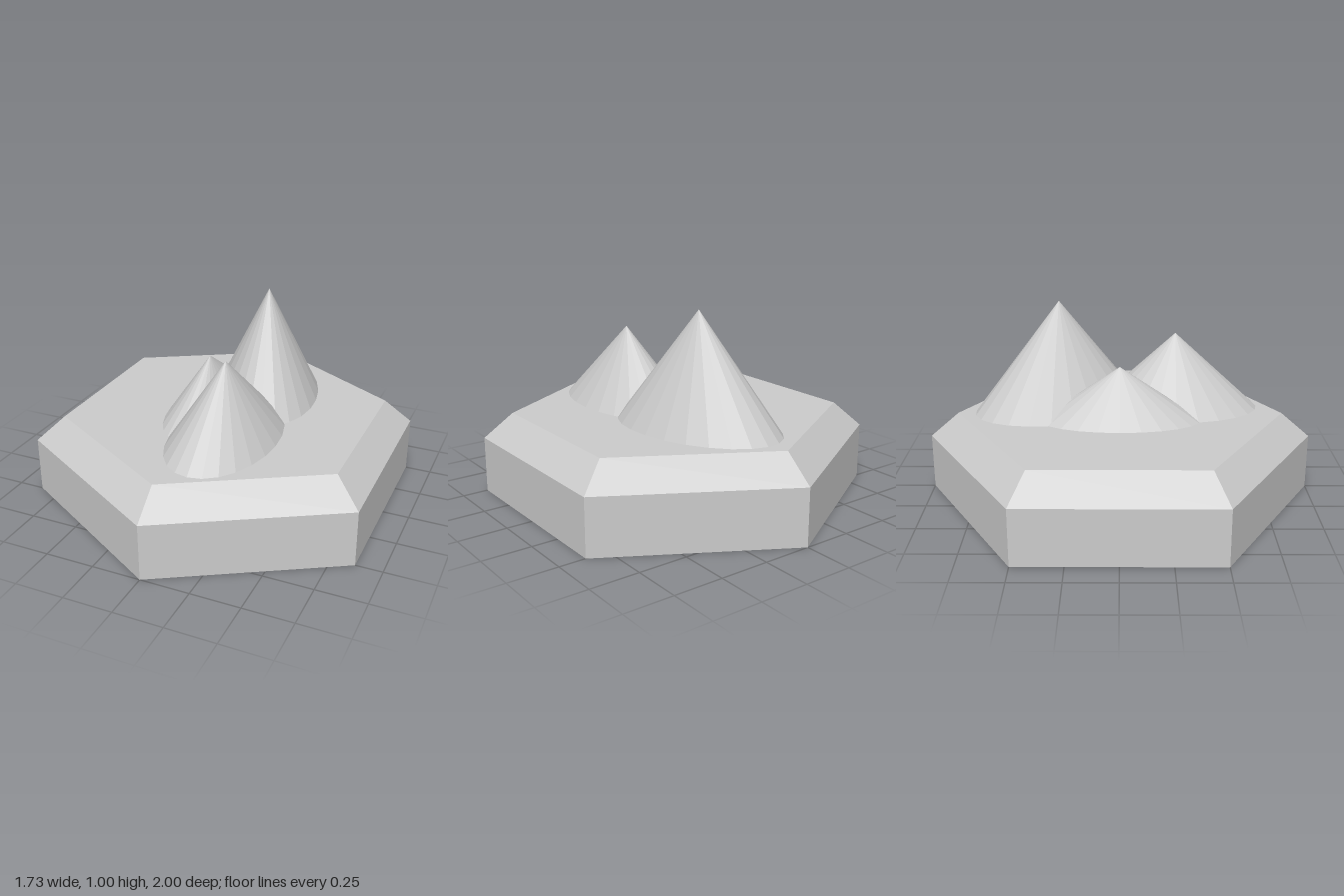
import * as THREE from 'three';

const TOP = 0.42;

export function createModel() {
  const group = new THREE.Group();
  const material = new THREE.MeshStandardMaterial({ color: 0xcccccc, flatShading: true });

  const addFaceted = (name, geometry) => {
    const faceted = geometry.toNonIndexed();
    faceted.computeVertexNormals();
    const mesh = new THREE.Mesh(faceted, material);
    mesh.name = name;
    group.add(mesh);
    return mesh;
  };

  // Hexagonal tile with a chamfered upper rim
  const profile = [[0, 0], [1, 0], [1, 0.29], [0.85, TOP], [0, TOP]]
    .map(([r, y]) => new THREE.Vector2(r, y));
  addFaceted('hexBase', new THREE.LatheGeometry(profile, 6));

  // Overlapping mountains: elliptical cones standing on the tile
  const mountains = [
    { name: 'tallPeak', x: 0.1, z: -0.315, apex: 1.0, rx: 0.28, rz: 0.458, turn: 0.305 },
    { name: 'frontPeak', x: 0.115, z: 0.29, apex: 0.825, rx: 0.265, rz: 0.44, turn: 0 },
    { name: 'smallPeak', x: -0.1, z: 0, apex: 0.705, rx: 0.187, rz: 0.42, turn: 0 },
  ];
  for (const { name, x, z, apex, rx, rz, turn } of mountains) {
    const height = apex - TOP;
    const cone = new THREE.ConeGeometry(1, height, 24, 1, true);
    cone.scale(rx, 1, rz).rotateY(turn);
    addFaceted(name, cone).position.set(x, TOP + height / 2, z);
  }

  return group;
}
